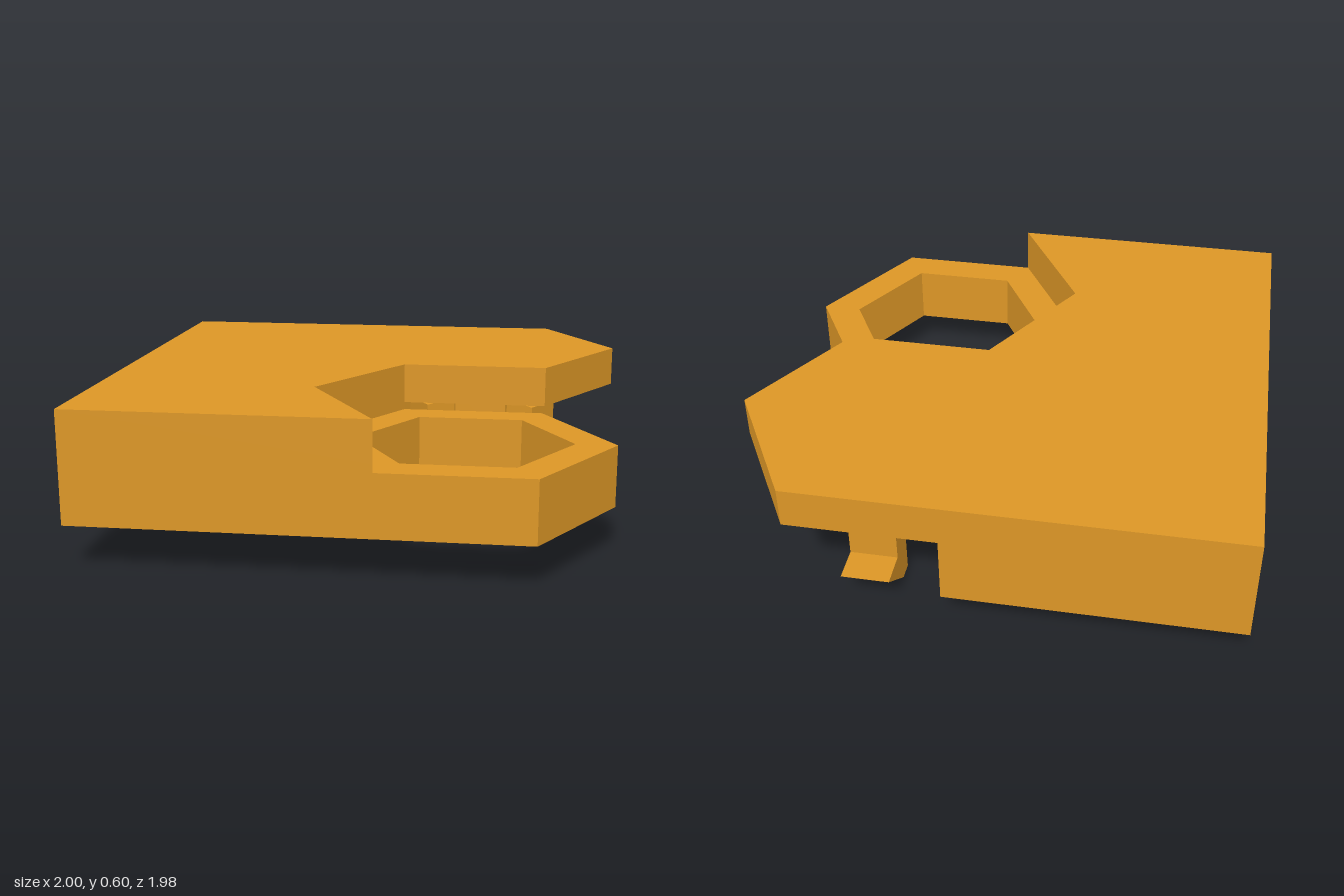
import * as THREE from 'three';

const orange = new THREE.MeshStandardMaterial({ color: 0xdc9626 });
orange.name = 'orange plastic';

// Plan outline given as [x, z] points
const outline = (points, Kind = THREE.Shape) =>
  new Kind(points.map(([x, z]) => new THREE.Vector2(x, -z)));

const hexagon = (cx, cz, r) => Array.from({ length: 6 }, (_, i) => {
  const a = (i * Math.PI) / 3;
  return [cx + r * Math.cos(a), cz + r * Math.sin(a)];
});

// Flat slab standing between two heights
function slab(name, shape, bottom, top) {
  const geometry = new THREE.ExtrudeGeometry(shape, { depth: top - bottom, bevelEnabled: false });
  geometry.rotateX(-Math.PI / 2).translate(0, bottom, 0);
  const mesh = new THREE.Mesh(geometry, orange);
  mesh.name = name;
  return mesh;
}

export function createModel() {
  const model = new THREE.Group();
  model.name = 'hexagonalSnapConnector';

  const hexX = 0.43, hexZ = -0.495;
  const backNotch = [[0.13, 0], [-0.16, -0.495], [0.13, -0.99]];
  const frontNotch = [[0.13, 0.985], [-0.16, 0.49], [0.13, 0]];

  // Upper plate: pointed half-hexagon tongue at the back, notch at the front
  model.add(slab('upperPlate', outline([
    [-1, -0.99], [0.71, -0.99], [1, -0.495], [0.71, 0], ...frontNotch.slice().reverse(), [-1, 0.985],
  ]), 0.44, 0.6));

  // Thin core joining the plates, notched on both sides
  model.add(slab('core', outline([
    [-1, 0.985], ...frontNotch, ...backNotch.slice(1), [-1, -0.99],
  ]), 0.41, 0.44));

  // Lower plate: pointed tongue with a hexagonal socket, notch at the back
  const lower = outline([
    [-1, 0.985], [0.7, 0.985], [0.985, 0.49], [0.7, 0], ...backNotch, [-1, -0.99],
  ]);
  lower.holes.push(outline(hexagon(0.414, 0.492, 0.414), THREE.Path));
  model.add(slab('lowerPlate', lower, 0.17, 0.41));

  // Hexagonal post under the upper tongue
  model.add(slab('post', outline(hexagon(hexX, hexZ, 0.217)), 0.185, 0.44));

  // Three hooked snap clips around the post, profile in radius and height
  const profile = new THREE.Shape([
    [0.187, 0.002], [0.255, 0.002], [0.45, 0.165], [0.315, 0.165], [0.315, 0.373], [0.187, 0.395],
  ].map(([r, y]) => new THREE.Vector2(r, y)));
  const clipGeometry = new THREE.ExtrudeGeometry(profile, { depth: 0.186, bevelEnabled: false });
  clipGeometry.translate(0, 0, -0.093);
  for (const [name, degrees] of [['backClip', 90], ['leftClip', -30], ['rightClip', 210]]) {
    const clip = new THREE.Mesh(clipGeometry, orange);
    clip.name = name;
    clip.position.set(hexX, 0, hexZ);
    clip.rotation.y = THREE.MathUtils.degToRad(degrees);
    model.add(clip);
  }

  return model;
}
